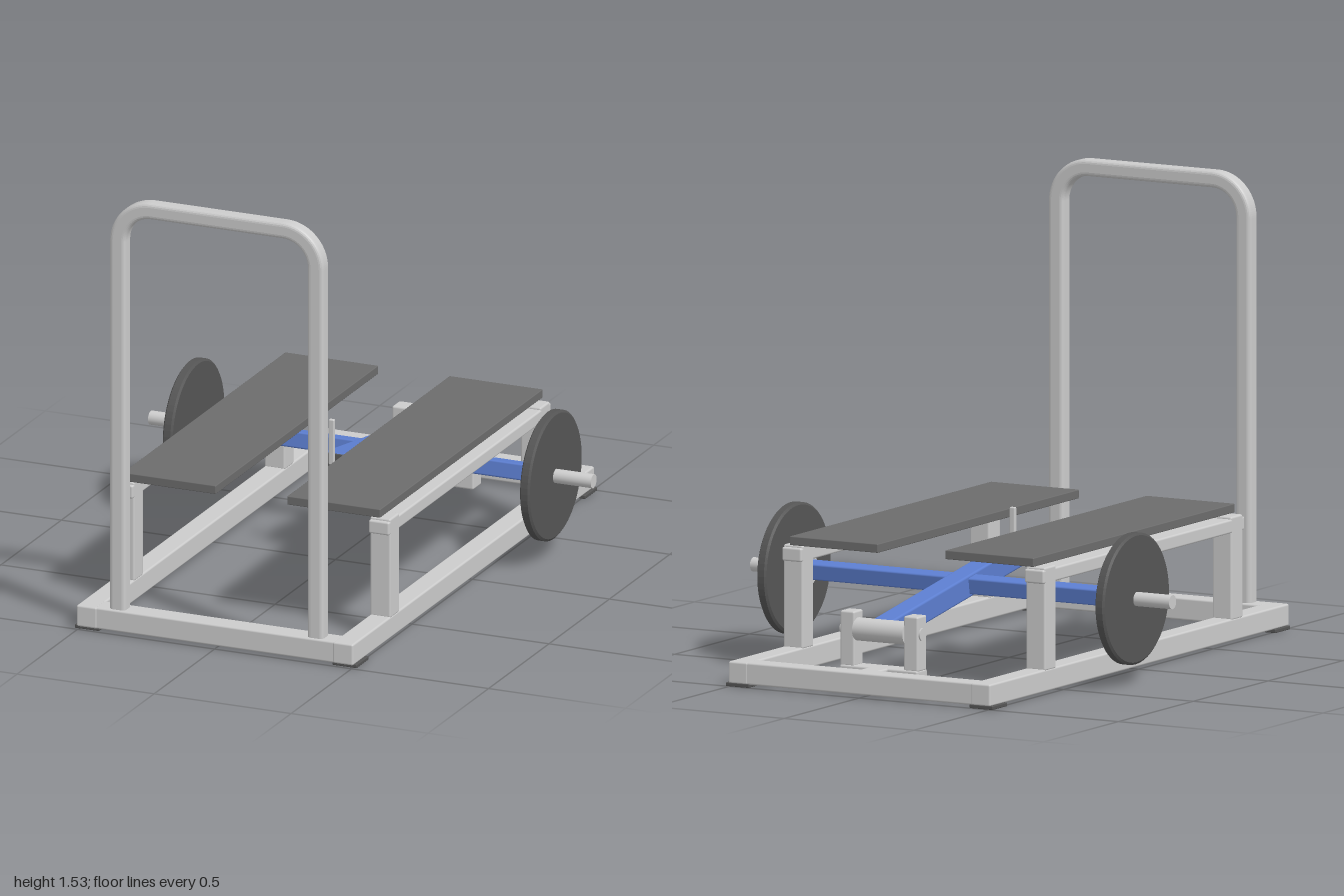
import * as THREE from 'three';
import { RoundedBoxGeometry } from 'three/addons/geometries/RoundedBoxGeometry.js';

const mat = (color) => new THREE.MeshStandardMaterial({ color });

export function createModel() {
  const model = new THREE.Group();
  const steel = mat(0xcccccc), blue = mat(0x5c7ed0), rubber = mat(0x6c6c6c), dark = mat(0x555555);

  const add = (name, geometry, material, x = 0, y = 0, z = 0, parent = model) => {
    const mesh = new THREE.Mesh(geometry, material);
    mesh.name = name;
    mesh.position.set(x, y, z);
    parent.add(mesh);
    return mesh;
  };
  // Box given by its limits, with softly rounded edges
  const bar = (name, [x0, x1], [y0, y1], [z0, z1], material = steel, r = 0.007) =>
    add(name, new RoundedBoxGeometry(x1 - x0, y1 - y0, z1 - z0, 2, r), material,
      (x0 + x1) / 2, (y0 + y1) / 2, (z0 + z1) / 2);
  // Same box on one side of the model: s = 1 left, s = -1 right
  const sideBar = (s, name, [x0, x1], y, z, material, r) =>
    bar(name, s > 0 ? [x0, x1] : [-x1, -x0], y, z, material, r);
  // Cylinder lying along x
  const rod = (name, radius, x0, x1, y, z, material = steel) => {
    const g = new THREE.CylinderGeometry(radius, radius, x1 - x0, 40).rotateZ(Math.PI / 2);
    return add(name, g, material, (x0 + x1) / 2, y, z);
  };

  // Floor frame
  bar('frontCrossbar', [-0.44, 0.44], [0.01, 0.085], [0.922, 0.998]);
  bar('rearCrossbar', [-0.44, 0.44], [0.01, 0.085], [-0.998, -0.925]);
  for (const s of [1, -1]) {
    sideBar(s, 'floorRail', [0.43, 0.505], [0.01, 0.085], [-1, 1]);
    for (const z of [-0.95, 0.94])
      sideBar(s, 'footPad', [0.425, 0.515], [0, 0.013], [z - 0.05, z + 0.05], dark, 0.003);

    // Platform supports and platforms
    sideBar(s, 'frontPost', [0.43, 0.505], [0.08, 0.43], [0.613, 0.69]);
    sideBar(s, 'rearPost', [0.43, 0.505], [0.08, 0.43], [-0.632, -0.556]);
    sideBar(s, 'platformRail', [0.43, 0.505], [0.375, 0.422], [-0.642, 0.702]);
    sideBar(s, 'platform', [0.13, 0.47], [0.432, 0.462], [-0.65, 0.695], rubber, 0.003);

    // Pivot bracket posts
    sideBar(s, 'pivotPost', [0.095, 0.15], [0.08, 0.267], [-0.868, -0.806]);
  }
  bar('bracketCrosspiece', [-0.15, 0.15], [0.012, 0.085], [-0.872, -0.802]);
  bar('bracketStub', [-0.036, 0.036], [0.012, 0.085], [-0.935, -0.86]);

  // Pivot
  rod('pivotTube', 0.039, -0.097, 0.097, 0.205, -0.84);
  rod('pivotBolt', 0.022, -0.155, 0.155, 0.205, -0.84);

  // Upright handle: arch outline with rounded tube edges
  const b = 0.014;
  const arch = (x, top, r) => [[-x, 0.08], [x, 0.08], [x, top - r], [x - r, top], [-x + r, top], [-x, top - r]];
  const outline = new THREE.Shape();
  const o = arch(0.39 - b, 1.535 - b, 0.15 - b), i = arch(0.332 + b, 1.478 - b * -1, 0.092 + b);
  outline.moveTo(...o[0]);
  outline.lineTo(...i[0]);
  outline.lineTo(...i[5]);
  outline.quadraticCurveTo(-0.332 - b, 1.478 + b, ...i[4]);
  outline.curves.pop();
  outline.currentPoint.set(...i[5]);
  const ri = 0.092 + b, ro = 0.15 - b;
  outline.absarc(i[4][0], i[5][1], ri, Math.PI, Math.PI / 2, true);
  outline.absarc(i[3][0], i[2][1], ri, Math.PI / 2, 0, true);
  outline.lineTo(...i[1]);
  outline.lineTo(...o[1]);
  outline.lineTo(...o[2]);
  outline.absarc(o[3][0], o[2][1], ro, 0, Math.PI / 2, false);
  outline.absarc(o[4][0], o[5][1], ro, Math.PI / 2, Math.PI, false);
  outline.closePath();
  const handle = new THREE.ExtrudeGeometry(outline, {
    depth: 0.056 - 2 * b, bevelSize: b, bevelThickness: b, bevelSegments: 4, curveSegments: 16,
  });
  add('uprightHandle', handle, steel, 0, 0, 0.934 + b);

  // Lever arm rising from the pivot towards the front
  const tilt = -Math.atan2(0.14, 0.865);
  const arm = add('leverArm', new RoundedBoxGeometry(0.078, 0.077, 0.876, 2, 0.008), blue, 0, 0.275, -0.407);
  arm.rotation.x = tilt;
  const cap = add('leverEndCap', new RoundedBoxGeometry(0.074, 0.073, 0.008, 2, 0.003), dark, 0, 0.345, 0.023);
  cap.rotation.x = tilt;
  bar('lockPin', [-0.01, 0.01], [0.345, 0.505], [0.021, 0.036], steel, 0.004);

  // Cross axle with sleeves and weight discs
  const axleY = 0.293, axleZ = -0.305;
  const axle = add('crossAxle', new RoundedBoxGeometry(1.19, 0.056, 0.056, 2, 0.006), blue, 0, axleY, axleZ);
  axle.rotation.x = tilt;
  const discProfile = [[0.022, -0.018], [0.214, -0.018], [0.222, -0.012], [0.222, 0.012], [0.214, 0.018],
    [0.022, 0.018], [0.022, -0.018]].map(([x, y]) => new THREE.Vector2(x, y));
  for (const s of [1, -1]) {
    const span = (a, c) => (s > 0 ? [a, c] : [-c, -a]);
    rod('axleFlange', 0.055, ...span(0.591, 0.602), axleY, axleZ);
    rod('weightSleeve', 0.024, ...span(0.595, 0.808), axleY, axleZ);
    const disc = new THREE.LatheGeometry(discProfile, 64).toNonIndexed();
    disc.computeVertexNormals();
    add('weightDisc', disc.rotateZ(Math.PI / 2), dark, s * 0.652, axleY, axleZ);
  }
  return model;
}
